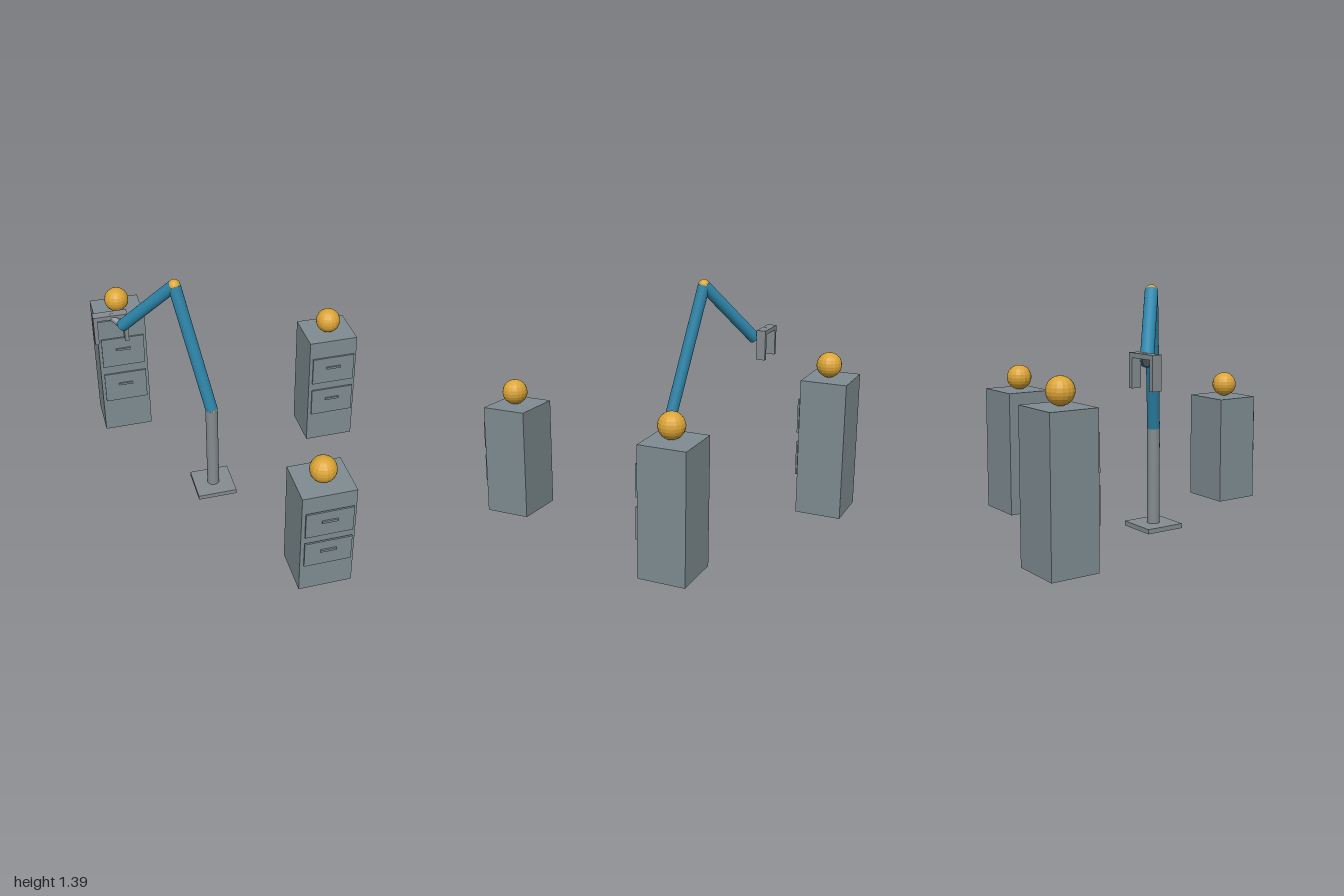
import * as THREE from 'three';

const mat = (name, color, flatShading = false) => {
  const m = new THREE.MeshStandardMaterial({ color });
  m.name = name;
  m.flatShading = flatShading;
  return m;
};

export function createModel() {
  const model = new THREE.Group();
  model.name = 'robotArmAndCabinets';
  const cabinetGrey = mat('cabinetGrey', 0x7f8c91);
  const metalGrey = mat('metalGrey', 0x858c8f);
  const armBlue = mat('armBlue', 0x2e86ab);
  const amber = mat('amber', 0xdba436, true);

  const add = (parent, name, geo, material, x, y, z) => {
    const mesh = new THREE.Mesh(geo, material);
    mesh.name = name;
    mesh.position.set(x, y, z);
    parent.add(mesh);
    return mesh;
  };
  const box = (parent, name, w, h, d, material, x, y, z) =>
    add(parent, name, new THREE.BoxGeometry(w, h, d), material, x, y, z);

  // Cylinder running between two points
  const rod = (parent, name, a, b, radius, material) => {
    const dir = b.clone().sub(a);
    const mid = a.clone().add(b).multiplyScalar(0.5);
    const mesh = add(parent, name, new THREE.CylinderGeometry(radius, radius, dir.length(), 24), material, mid.x, mid.y, mid.z);
    mesh.quaternion.setFromUnitVectors(new THREE.Vector3(0, 1, 0), dir.normalize());
  };

  // Two-drawer cabinet with a ball on top; drawer fronts stand just off the body
  const cabinet = (name, x, z, h) => {
    const g = new THREE.Group();
    g.name = name;
    g.position.set(x, 0, z);
    model.add(g);
    box(g, 'body', 0.303, h, 0.274, cabinetGrey, 0, h / 2, 0);
    for (const level of [0.408, 0.727]) {
      box(g, 'drawerFront', 0.266, h * 0.247, 0.01, cabinetGrey, 0, h * level, 0.15);
      box(g, 'drawerHandle', 0.09, 0.014, 0.01, cabinetGrey, 0, h * (level + 0.026), 0.159);
    }
    add(g, 'ball', new THREE.SphereGeometry(0.075, 16, 12), amber, 0, h + 0.075, 0.013);
  };
  cabinet('frontCabinet', 0.19, 0.836, 0.652);
  cabinet('leftCabinet', 0.643, -0.411, 0.738);
  cabinet('backCabinet', -0.6, -0.863, 0.825);

  // Jointed arm
  const arm = new THREE.Group();
  arm.name = 'robotArm';
  model.add(arm);
  const foot = new THREE.Vector3(-0.203, 0.02, 0);
  const shoulder = new THREE.Vector3(-0.203, 0.578, 0);
  const elbow = new THREE.Vector3(-0.366, 1.358, -0.136);
  const wrist = new THREE.Vector3(-0.638, 1.008, -0.362);
  const palm = new THREE.Vector3(-0.7, 1.052, -0.416);
  box(arm, 'basePlate', 0.235, 0.027, 0.235, metalGrey, -0.203, 0.0135, 0);
  rod(arm, 'post', foot, shoulder, 0.036, metalGrey);
  rod(arm, 'upperArm', shoulder, elbow, 0.036, armBlue);
  rod(arm, 'forearm', elbow, wrist, 0.036, armBlue);
  rod(arm, 'wristRod', wrist, palm, 0.02, metalGrey);
  for (const [name, p] of [['shoulderJoint', shoulder], ['elbowJoint', elbow]])
    add(arm, name, new THREE.SphereGeometry(0.036, 16, 12), amber, p.x, p.y, p.z);

  // Gripper
  const gripper = new THREE.Group();
  gripper.name = 'gripper';
  gripper.position.copy(palm);
  arm.add(gripper);
  box(gripper, 'palm', 0.2, 0.026, 0.057, metalGrey, 0, 0, 0);
  for (const side of [-1, 1])
    box(gripper, 'finger', 0.024, 0.156, 0.057, metalGrey, side * 0.088, -0.091, 0);

  return model;
}
